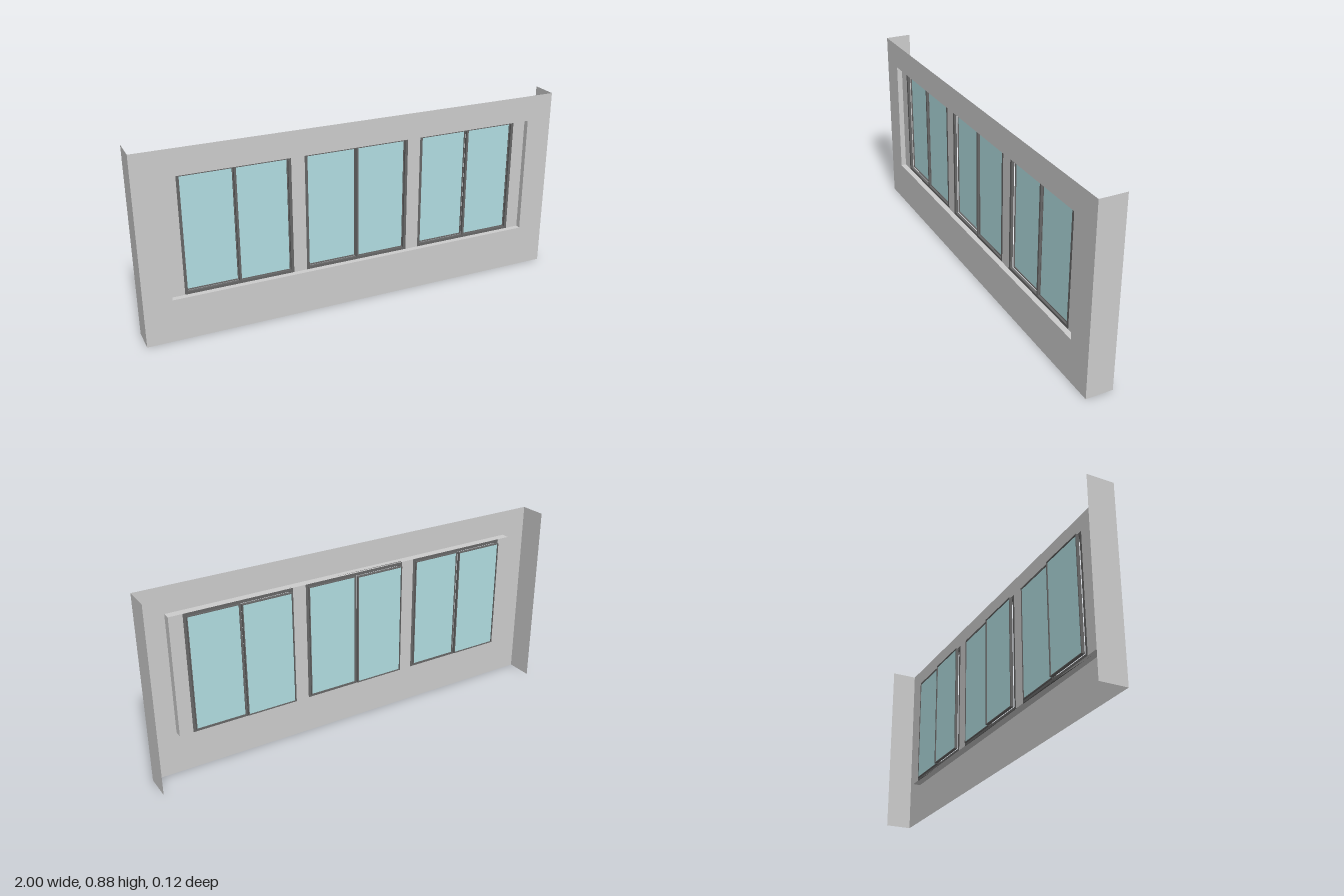
import * as THREE from 'three';

const grey = new THREE.MeshStandardMaterial({ color: 0xcccccc });
const sheet = new THREE.MeshStandardMaterial({ color: 0xcccccc, side: THREE.DoubleSide });
const dark = new THREE.MeshStandardMaterial({ color: 0x666666 });
const glass = new THREE.MeshStandardMaterial({ color: 0xb0dce0 });

const H = 0.875, FRONT = 0.0625, BACK = 0.025; // wall height, wall plane, rear of the reveal
const X = 0.874, Y0 = 0.2, Y1 = 0.755;         // opening

function add(parent, name, geometry, material, x = 0, y = 0, z = 0) {
  const mesh = new THREE.Mesh(geometry, material);
  mesh.name = name;
  mesh.position.set(x, y, z);
  parent.add(mesh);
  return mesh;
}

function rect(path, x0, y0, x1, y1) {
  path.moveTo(x0, y0);
  path.lineTo(x1, y0);
  path.lineTo(x1, y1);
  path.lineTo(x0, y1);
  path.closePath();
  return path;
}

// Rectangular ring with any number of rectangular openings, from z0 to z1
function ring(parent, name, outer, holes, z0, z1) {
  const shape = rect(new THREE.Shape(), ...outer);
  holes.forEach(h => shape.holes.push(rect(new THREE.Path(), ...h)));
  const geometry = new THREE.ExtrudeGeometry(shape, { depth: z1 - z0, bevelEnabled: false });
  return add(parent, name, geometry, dark, 0, 0, z0);
}

// Framed pane that sits behind the fixed frame
function sash(parent, name, x0, x1, z0, z1) {
  const y0 = Y0 + 0.011, y1 = Y1 - 0.013, b = 0.004;
  ring(parent, name + 'Frame', [x0, y0, x1, y1], [[x0 + b, y0 + b, x1 - b, y1 - b]], z0, z1);
  add(parent, name + 'Glass', new THREE.BoxGeometry(x1 - x0 - 2 * b, y1 - y0 - 2 * b, 0.004),
    glass, (x0 + x1) / 2, (y0 + y1) / 2, (z0 + z1) / 2);
}

export function createModel() {
  const model = new THREE.Group();
  model.name = 'windowWall';

  // Wall sheet with one long opening
  const wall = rect(new THREE.Shape(), -1, 0, 1, H);
  wall.holes.push(rect(new THREE.Path(), -X, Y0, X, Y1));
  add(model, 'wall', new THREE.ShapeGeometry(wall), sheet, 0, 0, FRONT);

  // Open returns at both ends, and the side reveals of the opening
  const depth = FRONT - BACK, zMid = (FRONT + BACK) / 2, yMid = (Y0 + Y1) / 2;
  for (const s of [-1, 1]) {
    add(model, 'endReturn', new THREE.PlaneGeometry(2 * FRONT, H), sheet, s, H / 2, 0)
      .rotation.y = s * Math.PI / 2;
    add(model, 'sideReveal', new THREE.PlaneGeometry(depth, Y1 - Y0), sheet, s * X, yMid, zMid)
      .rotation.y = -s * Math.PI / 2;
  }

  // Sill and head of the opening
  for (const [name, y, turn] of [['sill', Y0, -1], ['head', Y1, 1]]) {
    add(model, name, new THREE.PlaneGeometry(2 * X, depth), sheet, 0, y, zMid)
      .rotation.x = turn * Math.PI / 2;
  }

  // Pillars beside and between the windows
  const frameFront = 0.037;
  for (const x of [-0.843, -0.281, 0.281, 0.843]) {
    add(model, 'pillar', new THREE.BoxGeometry(0.062, Y1 - Y0, frameFront - BACK),
      grey, x, yMid, (BACK + frameFront) / 2);
  }

  // Three sliding windows: fixed frame with a centre bar, rear and front sash
  for (const cx of [-0.562, 0, 0.562]) {
    const win = new THREE.Group();
    win.name = 'slidingWindow';
    win.position.x = cx;
    model.add(win);
    const w = 0.25, b = 0.013, y0 = Y0 + 0.012, y1 = Y1 - 0.014;
    ring(win, 'fixedFrame', [-w, Y0, w, Y1],
      [[-w + b, y0, -0.005, y1], [0.005, y0, w - b, y1]], BACK, frameFront);
    sash(win, 'rearSash', -0.239, -0.003, 0.006, 0.02);
    sash(win, 'frontSash', 0.003, 0.237, 0.018, 0.027);
  }
  return model;
}
